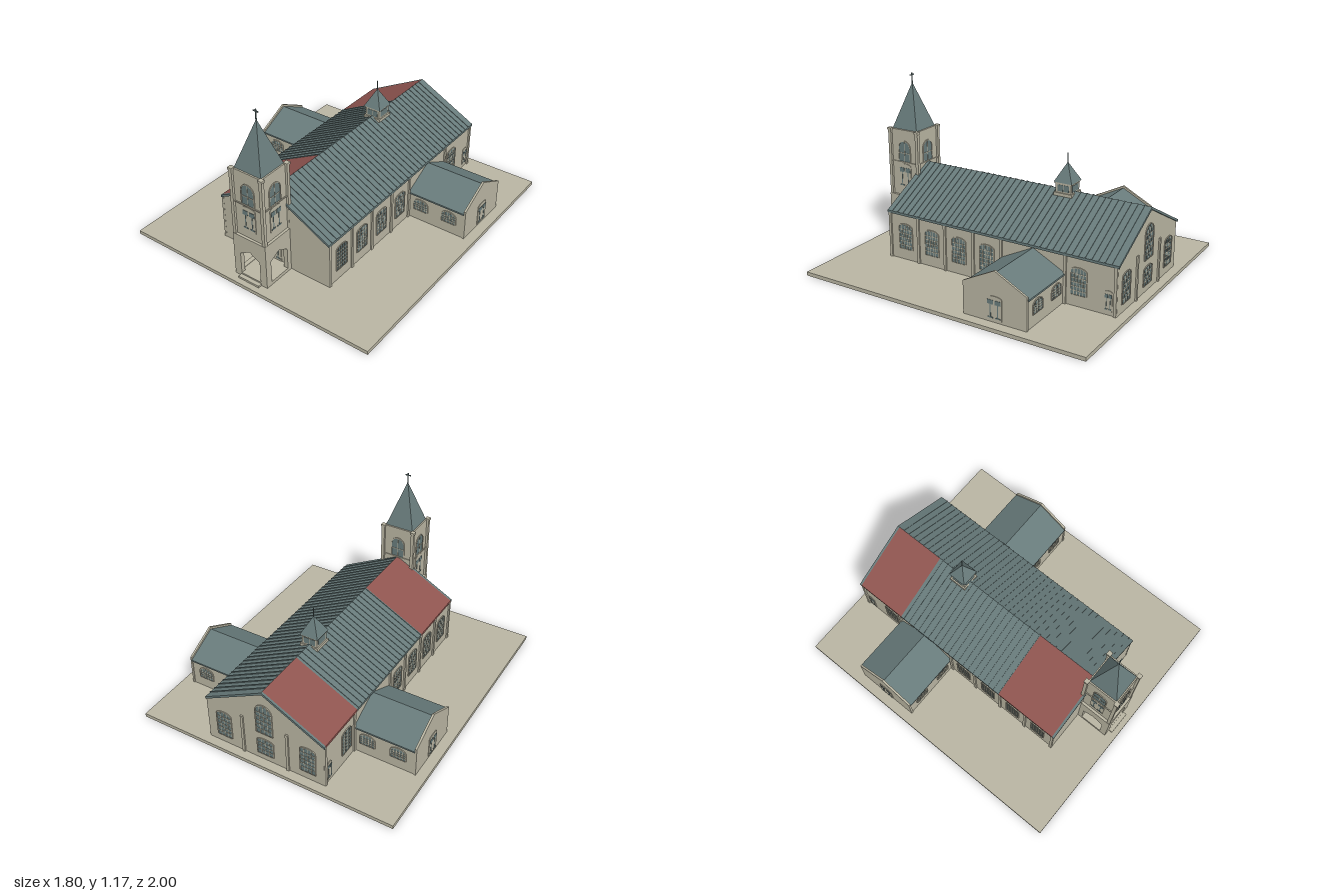
import * as THREE from 'three';

const mat = (name, color) => { const m = new THREE.MeshStandardMaterial({ color }); m.name = name; return m; };

export function createModel() {
  const root = new THREE.Group();
  root.name = 'church';
  const stone = mat('stone', 0xb9b5a2), slate = mat('slate', 0x687b7b), red = mat('redRoof', 0x8f5550);

  const add = (parent, name, geo, m, x = 0, y = 0, z = 0) => {
    const mesh = new THREE.Mesh(geo, m);
    mesh.name = name;
    mesh.position.set(x, y, z);
    parent.add(mesh);
    return mesh;
  };
  const box = (parent, name, m, w, h, d, x, y, z) => add(parent, name, new THREE.BoxGeometry(w, h, d), m, x, y, z);
  const poly = (pts) => new THREE.Shape(pts.map(([x, y]) => new THREE.Vector2(x, y)));
  // straight extrusion of a section from z0 to z1
  const prism = (parent, name, m, shape, z0, z1) => add(parent, name,
    new THREE.ExtrudeGeometry(shape, { depth: z1 - z0, bevelEnabled: false, curveSegments: 10 }), m, 0, 0, z0);
  const pyramid = (parent, name, half, h, x, y, z) => {
    const g = new THREE.ConeGeometry(half * Math.SQRT2, h, 4, 1).rotateY(Math.PI / 4).toNonIndexed();
    g.computeVertexNormals();
    return add(parent, name, g, slate, x, y + h / 2, z);
  };
  const group = (parent, name, x, y, z, ry = 0) => {
    const g = new THREE.Group();
    g.name = name;
    g.position.set(x, y, z);
    g.rotation.y = ry;
    parent.add(g);
    return g;
  };
  const gable = (hw, y0, eave, apex) => poly([[-hw, y0], [hw, y0], [hw, eave], [0, apex], [-hw, eave]]);
  const arch = (w, h, rise) => {
    const s = new THREE.Shape();
    s.moveTo(-w / 2, 0);
    s.lineTo(w / 2, 0);
    s.lineTo(w / 2, h - rise);
    s.absellipse(0, h - rise, w / 2, rise, 0, Math.PI, false);
    s.closePath();
    return s;
  };

  // arched window with frame and glazing bars, facing local +z
  const archWindow = (parent, x, y, z, ry, w, h, rise, cols, rows) => {
    const g = group(parent, 'window', x, y, z, ry);
    prism(g, 'glass', slate, arch(w, h, rise), -0.004, 0.002);
    const f = arch(w + 0.012, h + 0.006, rise + 0.006);
    f.holes.push(arch(w, h, rise));
    prism(g, 'windowFrame', stone, f, -0.004, 0.006);
    for (let i = 1; i < cols; i++) {
      const bx = w * (i / cols - 0.5), bh = h - rise + rise * Math.sqrt(1 - (2 * bx / w) ** 2);
      box(g, 'mullion', stone, 0.004, bh, 0.004, bx, bh / 2, 0.002);
    }
    for (let j = 1; j < rows; j++)
      box(g, 'glazingBar', stone, w, 0.005, 0.004, 0, (h - rise * 0.5) * j / rows, 0.002);
  };
  // panelled double door with small panes, facing local +z
  const door = (parent, x, y, z, ry, w, h) => {
    const g = group(parent, 'door', x, y, z, ry);
    prism(g, 'doorLeaf', stone, arch(w, h, h * 0.1), -0.004, 0.004);
    for (const s of [-1, 1]) {
      box(g, 'upperPane', slate, w * 0.38, h * 0.18, 0.004, s * w * 0.25, h * 0.74, 0.004);
      box(g, 'lowerPane', slate, w * 0.34, h * 0.05, 0.004, s * w * 0.25, h * 0.1, 0.004);
      box(g, 'doorSlot', slate, w * 0.06, h * 0.6, 0.004, s * w * 0.25, h * 0.38, 0.004);
    }
  };

  // ground slab
  box(root, 'groundSlab', stone, 1.8, 0.025, 2, 0, 0.0125, 0);

  // nave
  const nave = group(root, 'nave', 0, 0, 0);
  prism(nave, 'naveWalls', stone, gable(0.412, 0.02, 0.34, 0.556), -0.94, 0.708);
  const slab = (s) => poly([[0, 0.553], [s * 0.422, 0.333], [s * 0.422, 0.349], [0, 0.57]]);
  const left = slab(1), right = slab(-1);
  prism(nave, 'roofLeft', slate, left, -0.95, 0.716);
  for (const [m, z0, z1] of [[slate, -0.95, -0.935], [red, -0.935, -0.58], [slate, -0.58, 0.26], [red, 0.26, 0.7], [slate, 0.7, 0.716]])
    prism(nave, 'roofRight', m, right, z0, z1);
  // roof seams running down the slope
  const slope = Math.atan2(0.221, 0.422), len = Math.hypot(0.221, 0.422);
  for (let i = 0; i < 38; i++) {
    const z = -0.9 + i * 0.0427;
    for (const s of [1, -1]) {
      if (s < 0 && (z < -0.575 || z > 0.255)) continue;
      box(nave, 'roofSeam', slate, len, 0.006, 0.008, s * 0.211, 0.4605, z).rotation.z = -s * slope;
    }
  }
  for (const s of [1, -1]) {
    const ry = s * Math.PI / 2;
    for (const z of [0.58, 0.37, 0.16, -0.05, -0.69]) archWindow(nave, s * 0.412, 0.1, z, ry, 0.1, 0.17, 0.02, 5, 6);
    for (const z of [0.7, 0.475, 0.265, 0.05, -0.155, -0.6, -0.93])
      box(nave, 'pilaster', stone, 0.016, 0.31, 0.018, s * 0.414, 0.18, z);
    door(nave, s * 0.412, 0.05, -0.885, ry, 0.05, 0.13);
    archWindow(nave, s * 0.3, 0.08, -0.94, Math.PI, 0.1, 0.19, 0.02, 4, 6);
    box(nave, 'backPilaster', stone, 0.018, 0.29, 0.016, s * 0.16, 0.17, -0.942);
  }
  archWindow(nave, 0, 0.24, -0.94, Math.PI, 0.11, 0.22, 0.055, 4, 6);
  archWindow(nave, 0, 0.07, -0.94, Math.PI, 0.11, 0.12, 0.012, 4, 4);
  door(nave, 0, 0.045, 0.708, 0, 0.1, 0.16);

  // transepts, built facing local +z
  for (const s of [1, -1]) {
    const t = group(root, s > 0 ? 'leftTransept' : 'rightTransept', 0, 0, -0.38, s * Math.PI / 2);
    prism(t, 'transeptWalls', stone, gable(0.21, 0.02, 0.215, 0.318), 0.4, 0.825);
    for (const k of [1, -1])
      prism(t, 'transeptRoof', slate, poly([[0, 0.315], [k * 0.22, 0.207], [k * 0.22, 0.218], [0, 0.33]]), 0.4, 0.82);
    prism(t, 'gableParapet', stone, gable(0.215, 0.02, 0.235, 0.345), 0.818, 0.832);
    door(t, 0, 0.04, 0.832, 0, 0.1, 0.15);
    for (const k of [1, -1]) for (const d of [0.5, 0.71])
      archWindow(t, k * 0.21, 0.1, d, k * Math.PI / 2, 0.1, 0.08, 0.03, 5, 4);
  }

  // tower over an open porch
  const tower = group(root, 'tower', 0, 0, 0.81);
  const porchWall = (name, x0, x1, cx, x, z, ry) => {
    const s = poly([[x0, 0.02], [x1, 0.02], [x1, 0.335], [x0, 0.335]]);
    s.holes.push(poly([[cx - 0.075, 0.048], [cx - 0.075, 0.2], [cx, 0.24], [cx + 0.075, 0.2], [cx + 0.075, 0.048]]));
    const g = group(tower, name, x, 0, z, ry);
    prism(g, 'porchWall', stone, s, -0.03, 0);
  };
  porchWall('porchFront', -0.125, 0.125, 0, 0, 0.125, 0);
  porchWall('porchLeft', -0.125, 0.125, -0.005, 0.125, 0, Math.PI / 2);
  porchWall('porchRight', -0.125, 0.125, 0.005, -0.125, 0, -Math.PI / 2);
  box(tower, 'porchCeiling', stone, 0.24, 0.075, 0.24, 0, 0.2975, 0);
  box(tower, 'porchFloor', stone, 0.22, 0.02, 0.22, 0, 0.035, 0);
  box(tower, 'porchStep', stone, 0.16, 0.014, 0.035, 0, 0.031, 0.135);
  box(tower, 'towerShaft', stone, 0.216, 0.465, 0.216, 0, 0.5625, 0);
  for (const x of [-1, 1]) for (const z of [-1, 1]) {
    box(tower, 'cornerPier', stone, 0.022, 0.455, 0.022, x * 0.112, 0.5625, z * 0.112);
    box(tower, 'pierCap', stone, 0.03, 0.016, 0.03, x * 0.112, 0.793, z * 0.112);
  }
  for (let i = 0; i < 4; i++) {
    const ry = i * Math.PI / 2, face = group(tower, 'towerFace', 0, 0, 0, ry);
    archWindow(face, 0, 0.575, 0.108, 0, 0.09, 0.14, 0.045, 2, 2);
    box(face, 'stringCourse', stone, 0.22, 0.008, 0.008, 0, 0.568, 0.11);
    if (i !== 2) door(face, 0, 0.39, 0.108, 0, 0.1, 0.17);
  }
  pyramid(tower, 'spire', 0.1, 0.305, 0, 0.797, 0);
  box(tower, 'crossPost', slate, 0.006, 0.075, 0.006, 0, 1.13, 0);
  box(tower, 'crossArm', slate, 0.04, 0.006, 0.006, 0, 1.153, 0);

  // ridge cupola
  const cupola = group(root, 'cupola', 0, 0, -0.38);
  box(cupola, 'cupolaBase', stone, 0.125, 0.02, 0.125, 0, 0.552, 0);
  box(cupola, 'cupolaBody', stone, 0.108, 0.1, 0.108, 0, 0.58, 0);
  box(cupola, 'cupolaCornice', stone, 0.12, 0.008, 0.12, 0, 0.625, 0);
  for (let i = 0; i < 4; i++) {
    const face = group(cupola, 'cupolaFace', 0, 0, 0, i * Math.PI / 2);
    for (const s of [-1, 1]) box(face, 'cupolaVent', slate, 0.038, 0.042, 0.004, s * 0.021, 0.592, 0.054);
  }
  pyramid(cupola, 'cupolaRoof', 0.063, 0.122, 0, 0.629, 0);
  box(cupola, 'finial', slate, 0.005, 0.07, 0.005, 0, 0.775, 0);

  return root;
}
